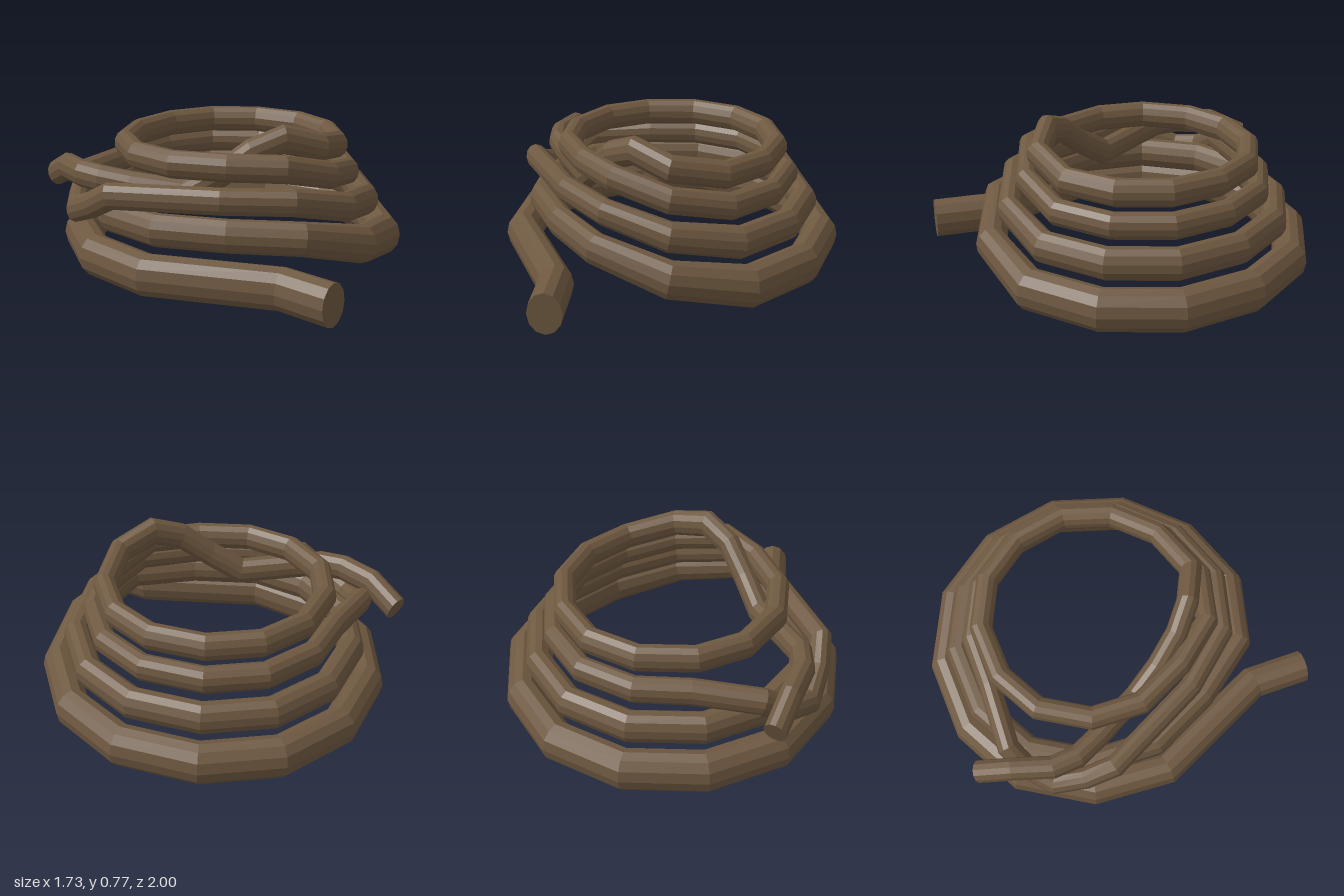
import * as THREE from 'three';

const SIDES = 12;
const OVAL = 1.27; // rope section is taller than wide

// Oval tapered tube with mitred joints through points [x, y, z, half width], capped at both ends
function ropeGeometry(path) {
  const pts = path.map(p => new THREE.Vector3(p[0], p[1], p[2]));
  const n = pts.length;
  const dirs = [];
  for (let i = 0; i < n - 1; i++) dirs.push(pts[i + 1].clone().sub(pts[i]).normalize());
  const up = new THREE.Vector3(0, 1, 0);
  up.addScaledVector(dirs[0], -up.dot(dirs[0])).normalize();
  const side = new THREE.Vector3().crossVectors(dirs[0], up);
  const offsets = [];
  for (let k = 0; k < SIDES; k++) {
    const a = k / SIDES * Math.PI * 2;
    offsets.push(up.clone().multiplyScalar(Math.cos(a)).addScaledVector(side, Math.sin(a)));
  }
  const pos = [], index = [];
  const turn = new THREE.Quaternion();
  for (let i = 0; i < n; i++) {
    const dIn = dirs[Math.max(i - 1, 0)], dOut = dirs[Math.min(i, n - 2)];
    const normal = dIn.clone().add(dOut).normalize();
    for (const o of offsets) {
      const m = o.clone().addScaledVector(dIn, -o.dot(normal) / dIn.dot(normal));
      m.y *= OVAL;
      pos.push(...pts[i].clone().addScaledVector(m, path[i][3]).toArray());
    }
    turn.setFromUnitVectors(dIn, dOut);
    offsets.forEach(o => o.applyQuaternion(turn));
  }
  for (let i = 0; i < n - 1; i++) {
    for (let k = 0; k < SIDES; k++) {
      const a = i * SIDES + k, b = i * SIDES + (k + 1) % SIDES;
      index.push(a, b, a + SIDES, b, b + SIDES, a + SIDES);
    }
  }
  const last = (n - 1) * SIDES;
  for (let k = 1; k < SIDES - 1; k++) {
    index.push(0, k + 1, k);
    index.push(last, last + k, last + k + 1);
  }
  const g = new THREE.BufferGeometry();
  g.setAttribute('position', new THREE.Float32BufferAttribute(pos, 3));
  g.setIndex(index);
  g.computeVertexNormals();
  return g;
}

export function createModel() {
  const CZ = -0.15;
  // One turn of the coil as x, z offsets: left side, then back, right and front
  const left = [[-0.43, 0.635], [-0.69, 0.34], [-0.777, -0.01], [-0.68, -0.38], [-0.43, -0.635]];
  const round = [[-0.063, -0.764], [0.306, -0.711], [0.603, -0.486], [0.778, -0.144],
    [0.77, 0.226], [0.59, 0.56], [0.264, 0.768], [-0.1, 0.768]];
  // Share of the climb to the next turn at each point of the round
  const climb = [0, 0, 0, 0, 0, 0.03, 0.43, 0.95];
  const turns = [
    { s: 1, y: 0.111, r: 0.085 },
    { s: 0.88, y: 0.298, r: 0.065 },
    { s: 0.765, y: 0.446, r: 0.054 },
    { s: 0.688, y: 0.585, r: 0.055 },
    { s: 0.688, y: 0.71, r: 0.055 },
  ];

  // Loose tail on the ground
  const path = [[-0.2, 0.111, 0.975, 0.083], [-0.275, 0.111, 0.7, 0.083]];

  for (let t = 0; t < 4; t++) {
    const a = turns[t], b = turns[t + 1];
    if (t === 0) {
      path.push([-0.7, a.y, 0.205, 0.083], [-0.777, a.y, -0.165, a.r],
        [-0.68, a.y, -0.53, a.r], [-0.42, a.y, -0.79, a.r]);
    } else if (t === 2) {
      // This turn swings out over the one below, then tucks back in
      path.push([-0.37, 0.446, 0.34, a.r], [-0.74, 0.435, -0.06, a.r], [-0.772, 0.36, -0.2, a.r],
        [-0.777, 0.3, -0.36, a.r], [-0.7, 0.33, -0.49, a.r], [-0.61, 0.42, -0.575, a.r],
        [-0.3, a.y, -0.655, a.r]);
    } else {
      for (const [x, z] of left) path.push([x * a.s, a.y, CZ + z * a.s, a.r]);
    }
    // The top turn stops short of the last point, where the loose end takes over
    round.slice(0, t === 3 ? 7 : 8).forEach(([x, z], i) => {
      const c = climb[i];
      path.push([x * a.s, a.y + (b.y - a.y) * c, CZ + z * a.s, a.r + (b.r - a.r) * c]);
    });
  }

  // Upper end drops inside, passes under the top turn and sticks out at the back
  path.push([-0.01, 0.695, 0.342, 0.055], [-0.15, 0.64, 0.28, 0.055], [-0.27, 0.525, 0.185, 0.055],
    [-0.39, 0.42, 0.065, 0.055], [-0.59, 0.45, -0.13, 0.055], [-0.69, 0.47, -0.24, 0.055],
    [-0.735, 0.475, -0.36, 0.055], [-0.73, 0.47, -0.55, 0.055], [-0.715, 0.395, -0.725, 0.055]);

  const rope = new THREE.Mesh(ropeGeometry(path),
    new THREE.MeshStandardMaterial({ color: 0x6e5840, flatShading: true }));
  rope.name = 'coiledRope';
  const group = new THREE.Group();
  group.name = 'ropeCoil';
  group.add(rope);
  return group;
}
